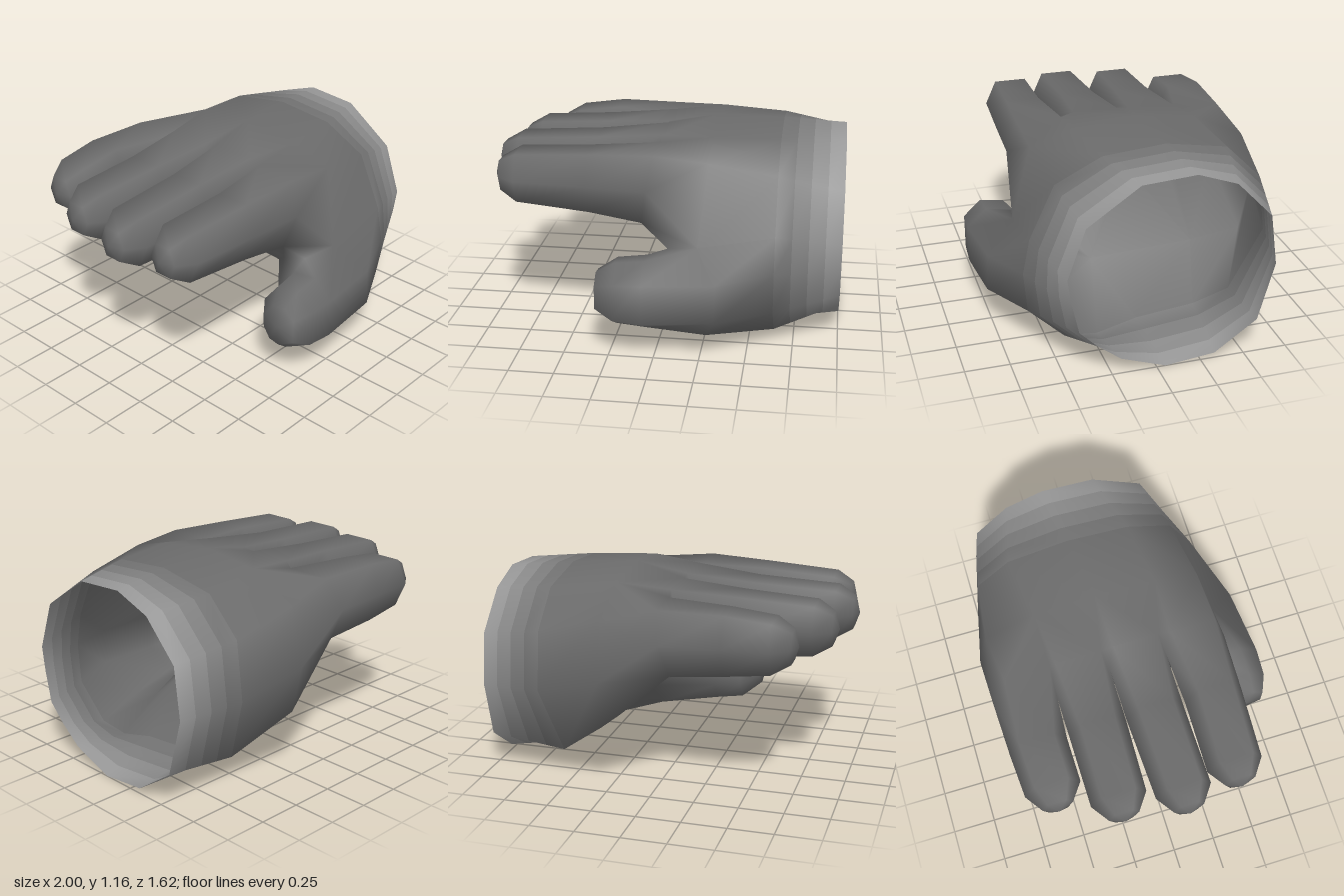
import * as THREE from 'three';

export function createModel() {
  const pos = [];
  const parts = {
    wristBand1: [], wristBand2: [], wristBand3: [], wristBand4: [], palm: [], thumb: [],
    indexFinger: [], middleFinger: [], ringFinger: [], littleFinger: [],
  };

  const vert = (x, y, z) => pos.push(new THREE.Vector3(x, y, z)) - 1;
  // ring of [z, y] points at x, or [z, y, x] where a point has its own x
  const ring = (x, pts) => pts.map(([z, y, px = x]) => vert(px, y, z));
  const dist = (a, b) => pos[a].distanceTo(pos[b]);

  // joins two closed loops; unequal counts are zipped along the shorter diagonal
  function join(tris, a, b) {
    const na = a.length, nb = b.length;
    let i = 0, j = 0;
    while (i < na || j < nb) {
      const a0 = a[i % na], a1 = a[(i + 1) % na], b0 = b[j % nb], b1 = b[(j + 1) % nb];
      let stepA = na === nb ? i <= j : dist(a1, b0) < dist(a0, b1);
      if (i === na) stepA = false;
      if (j === nb) stepA = true;
      if (stepA) { tris.push(a0, a1, b0); i++; }
      else { tris.push(a0, b1, b0); j++; }
    }
  }
  // loft through rings, closed by an apex
  function digit(tris, rings, apex) {
    for (let i = 1; i < rings.length; i++) join(tris, rings[i - 1], rings[i]);
    const last = rings[rings.length - 1];
    last.forEach((v, i) => tris.push(v, last[(i + 1) % last.length], apex));
  }

  // open wrist, heel, and the widest section where the thumb parts off
  const opening = ring(1, [[0.1, 1.09], [-0.2, 1.11], [-0.42, 1.03], [-0.62, 0.82], [-0.66, 0.53],
    [-0.57, 0.2], [-0.33, 0.03], [-0.05, 0], [0.2, 0.09], [0.33, 0.19], [0.43, 0.29],
    [0.47, 0.47], [0.49, 0.61], [0.39, 0.89]]);
  const heel = ring(0.64, [[0.2, 1.11], [-0.15, 1.14], [-0.5, 1.08], [-0.7, 0.88], [-0.74, 0.55],
    [-0.58, 0.15, 0.56], [-0.35, 0.11, 0.6], [0, 0.1], [0.23, 0.04], [0.42, 0.058], [0.62, 0.25],
    [0.64, 0.48], [0.6, 0.68], [0.46, 0.98]]);
  const wide = ring(0.27, [[0.25, 1.12], [-0.1, 1.16], [-0.45, 1.12], [-0.74, 0.98], [-0.81, 0.65],
    [-0.75, 0.38], [-0.45, 0.34], [0.16, 0.31], [0.38, 0.12], [0.57, 0.068], [0.78, 0.24, 0.33],
    [0.77, 0.45, 0.33], [0.6, 0.6, 0.22], [0.5, 1.05]]);
  join(parts.palm, heel, wide);

  // wrist in bands from the opening to the heel
  let edge = opening;
  for (let k = 1; k <= 4; k++) {
    const next = k === 4 ? heel : opening.map((v, i) => {
      const p = pos[v].clone().lerp(pos[heel[i]], k / 4);
      return vert(p.x, p.y, p.z);
    });
    join(parts['wristBand' + k], edge, next);
    edge = next;
  }

  // web between thumb and palm
  const webInner = vert(0.07, 0.49, 0.36), webOuter = vert(0.05, 0.56, 0.53);

  // knuckles: hexagonal finger roots that share their side corners
  const fingers = [
    { name: 'indexFinger', z: 0.375, top: 1.08, tip: -0.94, tipZ: 0.37, tipY: 0.905 },
    { name: 'middleFinger', z: 0.045, top: 1.1, tip: -1, tipZ: 0.058, tipY: 0.905 },
    { name: 'ringFinger', z: -0.285, top: 1.09, tip: -0.94, tipZ: -0.29, tipY: 0.905 },
    { name: 'littleFinger', z: -0.575, top: 1.055, tip: -0.78, tipZ: -0.615, tipY: 0.89 },
  ];
  const sideZ = [0.56, 0.21, -0.12, -0.45, -0.8];
  const sides = sideZ.map((z) => vert(-0.07, 0.89, z));
  fingers.forEach((f, i) => {
    const t = [0.13, -0.13].map((d) => vert(-0.03, f.top, f.z + d));
    const b = [-0.12, 0.12].map((d) => vert(-0.1, 0.69, f.z + d));
    f.root = [t[0], t[1], sides[i + 1], b[0], b[1], sides[i]];
  });
  const knuckles = [
    ...fingers.flatMap((f) => f.root.slice(0, 2)), sides[4],
    ...[...fingers].reverse().flatMap((f) => f.root.slice(3, 5)), sides[0],
  ];
  join(parts.palm, [wide[13], ...wide.slice(0, 8), webInner, webOuter, wide[12]], knuckles);
  // webs between the fingers, above and below
  for (let i = 0; i < 3; i++) {
    const f = fingers[i].root, g = fingers[i + 1].root;
    parts.palm.push(f[1], g[0], sides[i + 1], g[4], f[3], sides[i + 1]);
  }

  // fingers
  const hex = [[0.6, 1], [-0.6, 1], [-1, 0], [-0.6, -1], [0.6, -1], [1, 0]];
  const section = (shape, x, z, y, rz, ry) => ring(x, shape.map(([a, b]) => [z + a * rz, y + b * ry]));
  fingers.forEach((f, i) => {
    digit(parts[f.name], [
      f.root,
      section(hex, -0.4, (sideZ[i] + sideZ[i + 1]) / 2, (f.tipY + 0.895) / 2, 0.163, 0.165),
      section(hex, f.tip + 0.13, f.tipZ, f.tipY, 0.156, 0.137),
      section(hex, f.tip + 0.03, f.tipZ, f.tipY, 0.085, 0.085),
    ], vert(f.tip, f.tipY, f.tipZ));
  });

  // thumb
  const oct = [[-1, -0.4], [-0.6, -0.9], [0, -1], [1, -0.52], [1, 0.52], [0.4, 1], [-0.4, 0.9], [-0.95, 0.3]];
  digit(parts.thumb, [
    [...wide.slice(7, 13), webOuter, webInner],
    section(oct, -0.06, 0.62, 0.333, 0.188, 0.213),
    section(oct, -0.22, 0.63, 0.335, 0.17, 0.195),
    section(oct, -0.32, 0.655, 0.345, 0.105, 0.125),
  ], vert(-0.337, 0.345, 0.655));

  // shared smooth normals across all parts, then one mesh per part
  const whole = new THREE.BufferGeometry().setFromPoints(pos);
  whole.setIndex(Object.values(parts).flat());
  whole.computeVertexNormals();
  const grey = (color) => new THREE.MeshStandardMaterial({ color, side: THREE.DoubleSide });
  const skin = grey(0x6b6b6b);
  // the hand lightens towards the opening
  const lighter = {
    wristBand1: grey(0x979797), wristBand2: grey(0x8a8a8a),
    wristBand3: grey(0x7d7d7d), wristBand4: grey(0x727272),
  };
  const group = new THREE.Group();
  group.name = 'hand';
  for (const [name, tris] of Object.entries(parts)) {
    whole.setIndex(tris);
    const mesh = new THREE.Mesh(whole.toNonIndexed(), lighter[name] ?? skin);
    mesh.name = name;
    group.add(mesh);
  }
  return group;
}
